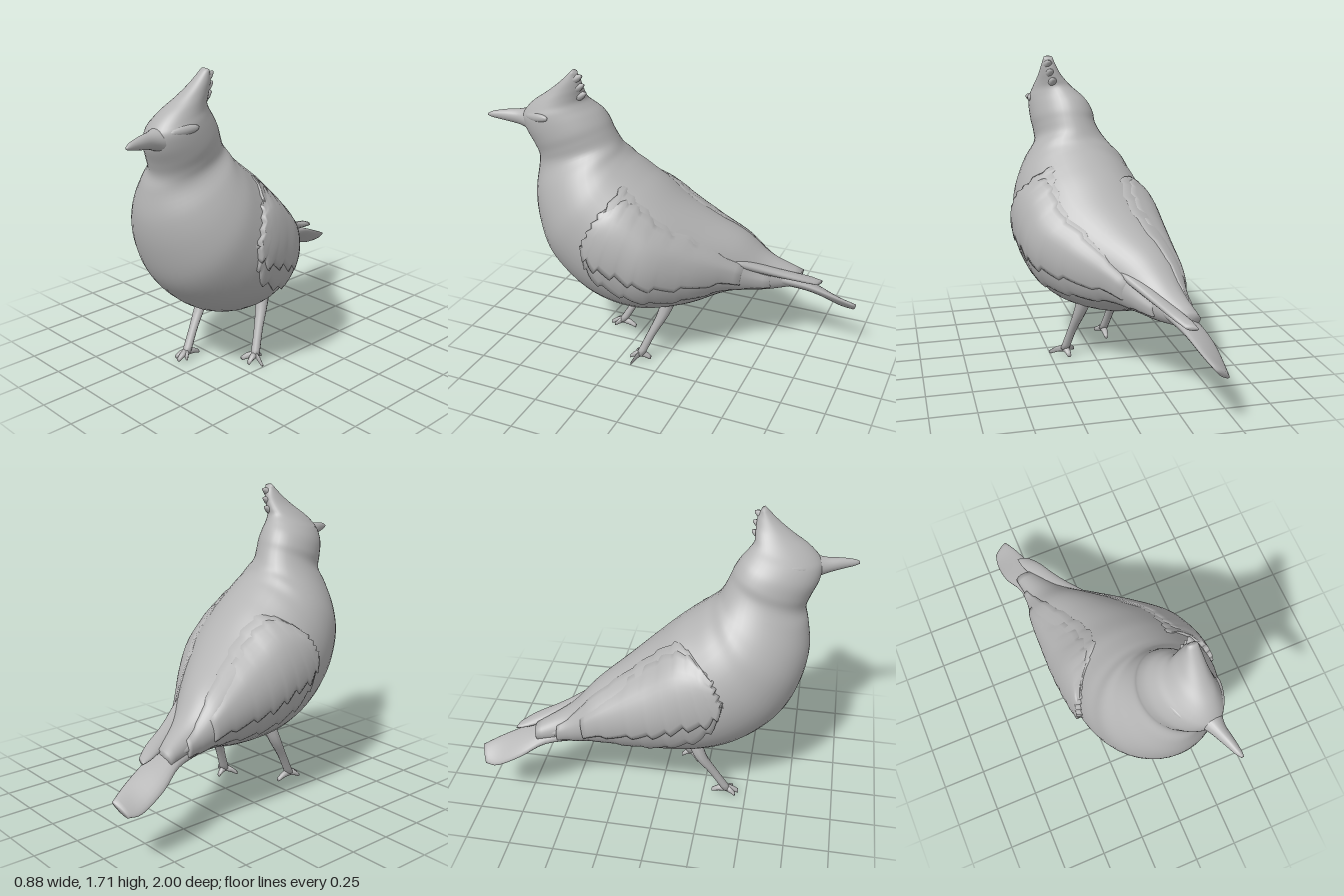
import * as THREE from 'three';

const plumage = new THREE.MeshStandardMaterial({ color: 0xb4b4b4, side: THREE.DoubleSide });
plumage.name = 'plain grey';

const V = (x, y, z) => new THREE.Vector3(x, y, z);
const smooth = pts => new THREE.CatmullRomCurve3(pts, false, 'catmullrom', 0.5);

// Grid surface from a rule fn(i, j); faces are turned away from the point inside
function gridGeometry(fn, nu, nv, inside = V(0, 0.7, 0.1)) {
  const pos = [], idx = [];
  for (let i = 0; i <= nu; i++) for (let j = 0; j <= nv; j++) pos.push(fn(i, j));
  const id = (i, j) => i * (nv + 1) + j;
  let volume = 0;
  const tri = (a, b, c) => {
    idx.push(a, b, c);
    const [p, q, r] = [a, b, c].map(k => pos[k].clone().sub(inside));
    volume += p.dot(q.cross(r));
  };
  for (let i = 0; i < nu; i++) for (let j = 0; j < nv; j++) {
    tri(id(i, j), id(i, j + 1), id(i + 1, j));
    tri(id(i + 1, j), id(i, j + 1), id(i + 1, j + 1));
  }
  if (volume < 0) idx.reverse();
  const g = new THREE.BufferGeometry().setFromPoints(pos);
  g.setIndex(idx);
  g.computeVertexNormals();
  return g;
}

// Oval tube: each row is top x,y,z, bottom x,y,z and half width along dir
function tubeSurface(rows, dir) {
  const top = smooth(rows.map(r => V(r[0], r[1], r[2])));
  const bottom = smooth(rows.map(r => V(r[3], r[4], r[5])));
  const width = smooth(rows.map(r => V(r[6], 0, 0)));
  return (t, angle, offset = 0, collapse = false) => {
    const a = top.getPoint(t), b = bottom.getPoint(t);
    const mid = a.clone().add(b).multiplyScalar(0.5);
    if (collapse) return mid;
    const out = a.sub(mid).multiplyScalar(Math.cos(angle))
      .addScaledVector(dir, width.getPoint(t).x * Math.sin(angle));
    return mid.add(out.setLength(out.length() + offset));
  };
}

function loft(rows, dir = V(1, 0, 0), sides = 20, steps = 4) {
  const n = (rows.length - 1) * steps, surface = tubeSurface(rows, dir);
  const g = gridGeometry((i, j) => surface(
    THREE.MathUtils.clamp((i - 1) / n, 0, 1), (j % sides) / sides * Math.PI * 2, 0, i === 0 || i === n + 2
  ), n + 2, sides);
  // Share one normal along the seam
  const nor = g.attributes.normal, a = V(), b = V();
  for (let i = 0; i <= n + 2; i++) {
    const p = i * (sides + 1), q = p + sides;
    a.fromBufferAttribute(nor, p).add(b.fromBufferAttribute(nor, q)).normalize();
    nor.setXYZ(p, a.x, a.y, a.z);
    nor.setXYZ(q, a.x, a.y, a.z);
  }
  return g;
}

// Round limb through points [x, y, z, radius]; side says which way it is thickened
function limb(points, side) {
  return loft(points.map(([x, y, z, r]) => side === 'z'
    ? [x, y, z + r, x, y, z - r, r] : [x, y + r, z, x, y - r, z, r]), V(1, 0, 0), 10);
}

const bodyRows = [
  [-0.32, 0.52, -0.68, -0.32, 0.43, -0.66, 0.06],
  [-0.25, 0.62, -0.5, -0.25, 0.41, -0.5, 0.11],
  [-0.185, 0.75, -0.365, -0.185, 0.4, -0.3, 0.19],
  [-0.1, 0.865, -0.2, -0.09, 0.345, -0.12, 0.285],
  [-0.03, 0.97, -0.06, -0.02, 0.315, 0.08, 0.358],
  [0, 1.075, 0.06, 0.005, 0.32, 0.25, 0.382],
  [0.02, 1.135, 0.14, 0.02, 0.375, 0.42, 0.388],
  [0.03, 1.18, 0.2, 0.03, 0.48, 0.57, 0.38],
  [0.04, 1.21, 0.24, 0.04, 0.62, 0.69, 0.358],
  [0.04, 1.24, 0.27, 0.04, 0.8, 0.76, 0.32],
  [0.05, 1.27, 0.29, 0.05, 0.97, 0.785, 0.262],
  [0.045, 1.31, 0.31, 0.065, 1.12, 0.765, 0.2],
  [0.055, 1.37, 0.335, 0.095, 1.2, 0.745, 0.178],
  [0.06, 1.42, 0.355, 0.11, 1.27, 0.765, 0.178],
  [0.07, 1.47, 0.385, 0.13, 1.35, 0.8, 0.166],
  [0.09, 1.51, 0.42, 0.15, 1.42, 0.81, 0.142],
  [0.115, 1.545, 0.445, 0.155, 1.465, 0.79, 0.114],
  [0.135, 1.58, 0.447, 0.16, 1.52, 0.735, 0.088],
  [0.155, 1.62, 0.447, 0.165, 1.575, 0.655, 0.064],
  [0.17, 1.665, 0.452, 0.172, 1.64, 0.57, 0.044],
  [0.178, 1.70, 0.467, 0.178, 1.715, 0.49, 0.026],
];
const bodySurface = tubeSurface(bodyRows, V(1, 0, 0));

// Feather panel laid over the body; rows are body ring, upper angle, lower angle
function featherPanel(rows, side, lift) {
  const edge = smooth(rows.map(r => V(...r))), nu = 40, nv = 14;
  return gridGeometry((i, j) => {
    const u = THREE.MathUtils.clamp((i - 1) / (nu - 2), 0, 1);
    const v = THREE.MathUtils.clamp((j - 1) / (nv - 2), 0, 1);
    const e = edge.getPoint(u), jag = (i % 5) / 5;
    const ring = e.x + u ** 6 * 0.08 * ((j % 3) - 1);
    const angle = THREE.MathUtils.lerp(e.y + jag * 0.06, e.z - jag * 0.12, v);
    const rim = i === 0 || j === 0 || i === nu || j === nv;
    const bulge = 0.012 * Math.sin(Math.PI * v) * Math.sin(Math.PI * u);
    const offset = rim ? -0.015 : lift * (0.35 + 0.65 * THREE.MathUtils.smoothstep(v, 0, 0.4)) + bulge;
    return bodySurface(ring / (bodyRows.length - 1), side * angle, offset);
  }, nu, nv);
}

// The pose twists the body, so the two wings have their own outlines
const wings = [
  { name: 'left', side: 1,
    flight: [[0.8, 1.3, 2.1], [2, 1, 2.25], [3, 0.68, 2.2], [4, 0.62, 2.15], [5, 0.56, 2.05], [6, 0.5, 1.92], [6.6, 0.45, 1.6]],
    coverts: [[1.6, 1.1, 1.85], [3, 0.75, 1.78], [4, 0.68, 1.76], [5, 0.62, 1.72], [6, 0.65, 1.74], [6.75, 0.95, 1.62]],
    tip: [[-0.03, 0.65, -0.36, -0.14, 0.6, -0.36, 0.03], [-0.14, 0.57, -0.55, -0.24, 0.53, -0.55, 0.025],
      [-0.21, 0.52, -0.7, -0.31, 0.49, -0.72, 0.02], [-0.26, 0.485, -0.78, -0.325, 0.475, -0.8, 0.012]] },
  { name: 'right', side: -1,
    flight: [[0.7, 1, 2.1], [1.5, 0.65, 2.2], [2.5, 0.42, 2.22], [3.5, 0.34, 2.18], [4.5, 0.36, 2.1], [5.5, 0.5, 2], [6.6, 1, 1.7]],
    coverts: [[1.6, 0.9, 1.85], [3, 0.58, 1.78], [4, 0.5, 1.76], [5, 0.55, 1.72], [6, 0.75, 1.76], [6.8, 1.15, 1.65]],
    tip: [[-0.28, 0.62, -0.36, -0.37, 0.55, -0.36, 0.03], [-0.29, 0.56, -0.52, -0.37, 0.5, -0.52, 0.025],
      [-0.31, 0.51, -0.66, -0.36, 0.48, -0.66, 0.015]] },
];

const legs = [
  { name: 'left', shank: [[0.07, 0.42, -0.02, 0.048], [0.1, 0.3, 0.015, 0.036], [0.135, 0.17, 0.075, 0.026], [0.165, 0.04, 0.13, 0.026]],
    toes: [[0.11, 0.016, 0.18], [0.175, 0.014, 0.19], [0.245, 0.016, 0.155], [0.15, 0.016, 0.075]] },
  { name: 'right', shank: [[-0.14, 0.44, 0.18, 0.045], [-0.166, 0.3, 0.23, 0.036], [-0.15, 0.17, 0.31, 0.026], [-0.13, 0.04, 0.385, 0.026]],
    toes: [[-0.155, 0.018, 0.44], [-0.12, 0.018, 0.455], [-0.09, 0.025, 0.42], [-0.13, 0.016, 0.3]] },
];

export function createModel() {
  const bird = new THREE.Group();
  bird.name = 'crestedBird';
  const add = (name, geometry) => {
    const mesh = new THREE.Mesh(geometry, plumage);
    mesh.name = name;
    bird.add(mesh);
    return mesh;
  };

  // Body, neck, head and crest in one sweep
  add('bodyAndHead', loft(bodyRows, V(1, 0, 0), 40, 5));

  add('bill', loft([
    [0.15, 1.48, 0.73, 0.15, 1.335, 0.75, 0.085],
    [0.172, 1.457, 0.82, 0.17, 1.365, 0.82, 0.045],
    [0.195, 1.45, 0.9, 0.195, 1.385, 0.9, 0.03],
    [0.215, 1.438, 0.97, 0.215, 1.4, 0.97, 0.018],
    [0.224, 1.425, 1, 0.224, 1.41, 1, 0.007],
  ]));

  // Ragged feather tips behind the crest
  for (const [x, y, z] of [[0.18, 1.685, 0.435], [0.17, 1.635, 0.43], [0.155, 1.585, 0.427]]) {
    add('crestTip', limb([[x, y - 0.03, z + 0.08, 0.03], [x, y - 0.015, z + 0.03, 0.024], [x, y, z, 0.008]], 'y'));
  }

  // Brow ridges above the eyes, barely proud of the head
  for (const [x, z, turn] of [[0.015, 0.66, 0.35], [0.25, 0.68, -0.25]]) {
    const brow = add('brow', new THREE.SphereGeometry(1, 16, 10));
    brow.scale.set(0.02, 0.025, 0.08);
    brow.position.set(x, 1.45, z);
    brow.rotation.set(0.1, turn, 0);
  }

  // Folded wings: long flight feathers, shorter coverts and a tip over the tail
  for (const { name, side, flight, coverts, tip } of wings) {
    add(name + 'FlightFeathers', featherPanel(flight, side, 0.014));
    add(name + 'WingCoverts', featherPanel(coverts, side, 0.027));
    add(name + 'WingTip', loft(tip, V(-0.4, 0.9, 0)));
  }

  // Tail, rolled to the model's right
  add('tail', loft([
    [-0.15, 0.55, -0.43, -0.34, 0.46, -0.43, 0.06],
    [-0.21, 0.5, -0.6, -0.38, 0.43, -0.62, 0.04],
    [-0.26, 0.455, -0.75, -0.43, 0.36, -0.75, 0.028],
    [-0.305, 0.392, -0.9, -0.443, 0.285, -0.89, 0.02],
    [-0.345, 0.345, -1, -0.43, 0.28, -0.965, 0.015],
  ], V(-0.5, 0.85, 0)));

  // Legs and feet
  for (const { name, shank, toes } of legs) {
    add(name + 'Leg', limb(shank, 'z'));
    const [ax, ay, az] = shank[3];
    for (const [x, y, z] of toes) {
      add(name + 'Toe', limb([
        [ax, ay, az, 0.02], [(ax + x) / 2, 0.035, (az + z) / 2, 0.018], [x, y, z, 0.012],
      ], 'y'));
    }
  }
  return bird;
}
